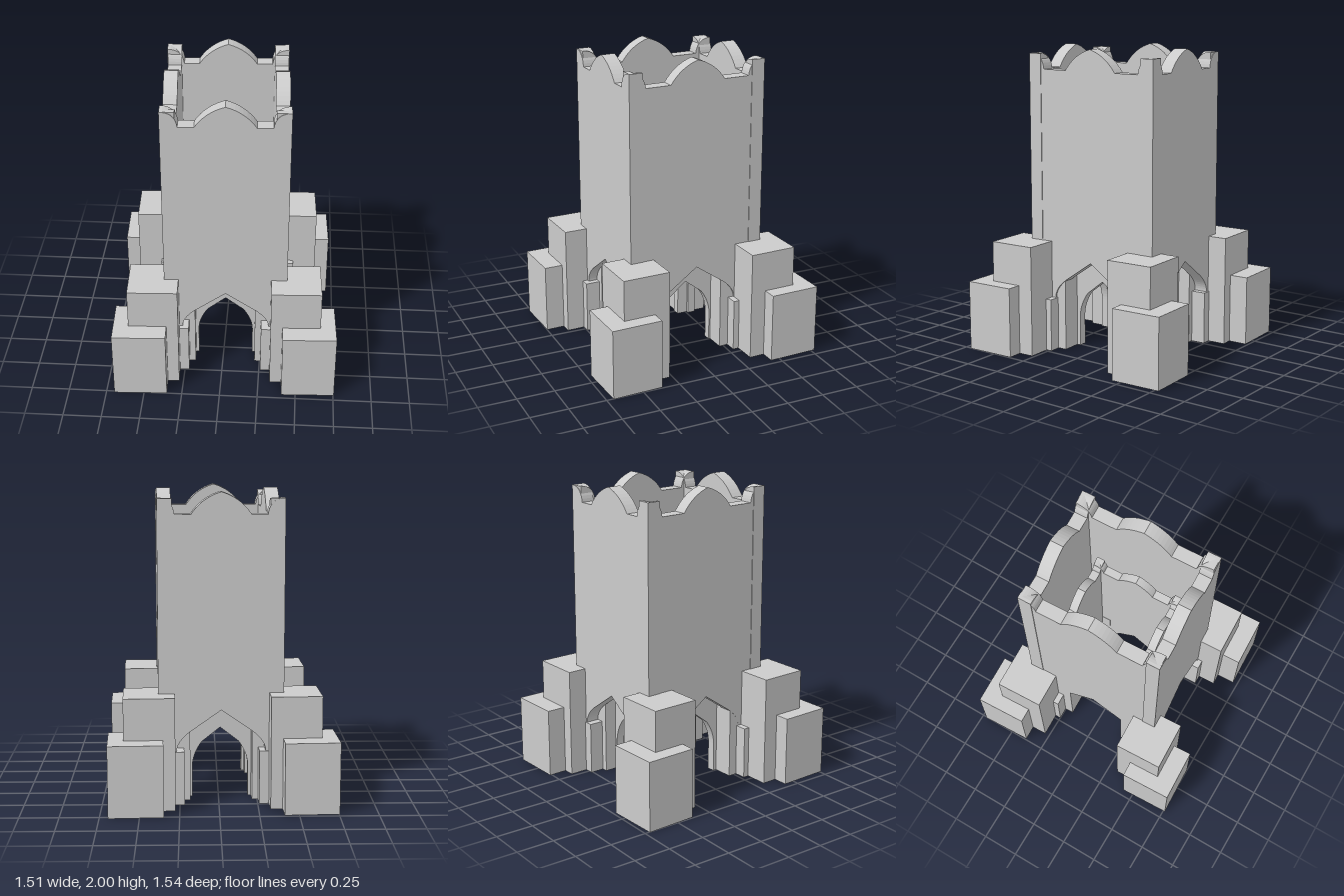
import * as THREE from 'three';

const material = new THREE.MeshStandardMaterial({ color: 0xcccccc, flatShading: true, side: THREE.DoubleSide });

// Wall outline: pointed arch cut from the foot, scalloped crown along the top.
// a = { peak, springHalf, springY, half, baseY }
function wallShape(half, top, k, a) {
  const valley = top - 0.14 * k, corner = top - 0.04 * k;
  const peakW = 0.19 * k, notch = half - 0.11 * k, shoulder = half - 0.02 * k;
  const s = new THREE.Shape();
  s.moveTo(-half, 0);
  s.lineTo(-a.half, 0);
  s.lineTo(-a.half, a.baseY);
  s.quadraticCurveTo(-a.half, (a.baseY + a.springY) / 2, -a.springHalf, a.springY);
  s.lineTo(0, a.peak);
  s.lineTo(a.springHalf, a.springY);
  s.quadraticCurveTo(a.half, (a.baseY + a.springY) / 2, a.half, a.baseY);
  s.lineTo(a.half, 0);
  s.lineTo(half, 0);
  s.lineTo(half, corner);
  s.lineTo(shoulder, corner);
  s.quadraticCurveTo(notch + 0.01 * k, corner - 0.01 * k, notch, valley);
  s.lineTo(peakW, valley);
  s.quadraticCurveTo(0.12 * k, top - 0.035 * k, 0, top);
  s.quadraticCurveTo(-0.12 * k, top - 0.035 * k, -peakW, valley);
  s.lineTo(-notch, valley);
  s.quadraticCurveTo(-notch - 0.01 * k, corner - 0.01 * k, -shoulder, corner);
  s.lineTo(-half, corner);
  return s;
}

// Four walls around a rectangle
function wallRing(name, w, d, thick, top, k, archFront, archSide) {
  const ring = new THREE.Group();
  ring.name = name;
  const inset = 0.004;
  const walls = [
    ['FrontWall', w, d, 0, archFront],
    ['LeftWall', d - inset, w - inset, Math.PI / 2, archSide],
    ['BackWall', w, d, Math.PI, archFront],
    ['RightWall', d - inset, w - inset, -Math.PI / 2, archSide],
  ];
  for (const [label, half, dist, angle, arch] of walls) {
    const geo = new THREE.ExtrudeGeometry(wallShape(half, top, k, arch), {
      depth: thick, bevelEnabled: false, curveSegments: 8,
    });
    geo.translate(0, 0, dist - thick);
    const wall = new THREE.Mesh(geo, material);
    wall.name = name + label;
    wall.rotation.y = angle;
    ring.add(wall);
  }
  return ring;
}

export function createModel() {
  const model = new THREE.Group();
  model.name = 'tower';
  const body = new THREE.Group();
  body.name = 'towerBody';
  body.rotation.y = 0.04; // whole building is turned slightly
  model.add(body);

  // Outer and inner shells, both open at the top
  const outer = wallRing('outer', 0.4, 0.475, 0.09, 2, 1,
    { peak: 0.62, springHalf: 0.2, springY: 0.48, half: 0.285, baseY: 0.35 },
    { peak: 0.62, springHalf: 0.2, springY: 0.48, half: 0.285, baseY: 0.35 });
  outer.position.set(0.005, 0, -0.02);

  const innerArch = { peak: 0.465, springHalf: 0.12, springY: 0.37, half: 0.182, baseY: 0.2 };
  const inner = wallRing('inner', 0.26, 0.31, 0.055, 1.45, 0.65, innerArch, innerArch);
  inner.position.set(0.002, 0, -0.014);
  body.add(outer, inner);

  // Stepped corner piers: [name, x, z, width, depth, height]
  const steps = [
    ['outerBlock', 0.552, 0.572, 0.348, 0.338, 0.462],
    ['tallBlock', 0.464, 0.458, 0.325, 0.316, 0.73],
    ['lowBlock', 0.355, 0.378, 0.23, 0.235, 0.35],
    ['innerBlock', 0.295, 0.3, 0.19, 0.2, 0.55],
  ];
  for (const sx of [1, -1]) for (const sz of [1, -1]) {
    const pier = new THREE.Group();
    pier.name = (sz > 0 ? 'front' : 'back') + (sx > 0 ? 'Left' : 'Right') + 'Pier';
    pier.position.set(0, 0, -0.007);
    for (const [name, x, z, w, d, h] of steps) {
      const block = new THREE.Mesh(new THREE.BoxGeometry(w, h, d), material);
      block.name = name;
      block.position.set(sx * x, h / 2, sz * z);
      pier.add(block);
    }
    body.add(pier);
  }
  return model;
}
